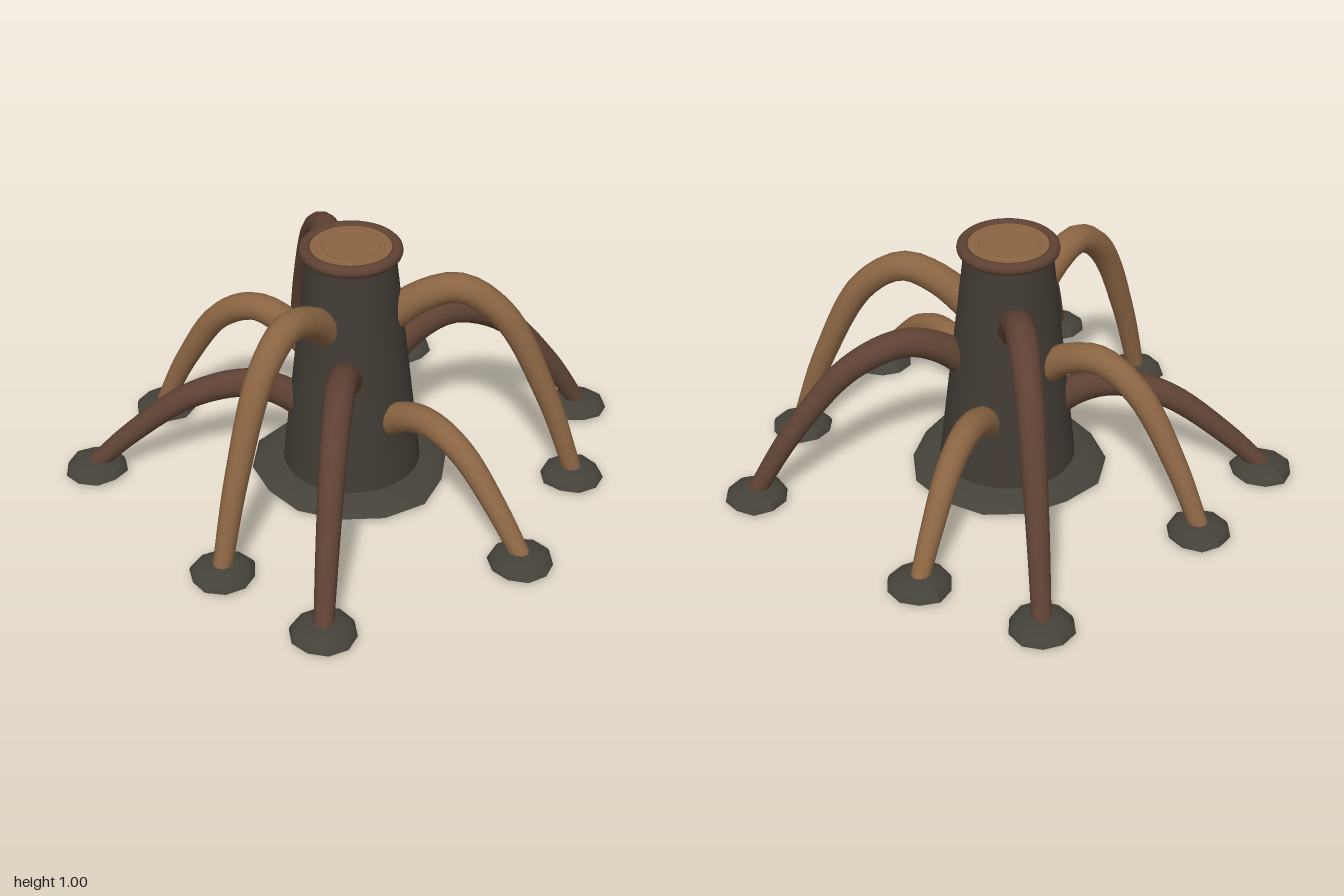
import * as THREE from 'three';

const flat = (name, color, side = THREE.FrontSide) => {
  const m = new THREE.MeshStandardMaterial({ color, side });
  m.name = name;
  return m;
};

// Tube along a curve whose radius runs from r0 to r1
function taperedTube(curve, r0, r1, rings = 28, sides = 12) {
  const geo = new THREE.TubeGeometry(curve, rings, 1, sides, false);
  const pos = geo.attributes.position;
  const v = new THREE.Vector3();
  for (let i = 0; i <= rings; i++) {
    const centre = curve.getPointAt(i / rings);
    const r = THREE.MathUtils.lerp(r0, r1, i / rings);
    for (let j = 0; j <= sides; j++) {
      const k = i * (sides + 1) + j;
      v.fromBufferAttribute(pos, k).sub(centre).multiplyScalar(r).add(centre);
      pos.setXYZ(k, v.x, v.y, v.z);
    }
  }
  return geo;
}

// Flattened, open half dome with an uneven rim
function moundGeometry(radius, height, sides, seed) {
  const geo = new THREE.SphereGeometry(1, sides, 5, 0, Math.PI * 2, 0, Math.PI / 2);
  const pos = geo.attributes.position;
  for (let i = 0; i < pos.count; i++) {
    const x = pos.getX(i), z = pos.getZ(i), a = Math.atan2(z, x);
    const k = radius * (1 + 0.025 * Math.sin(3 * a + seed) + 0.02 * Math.sin(5 * a + seed * 2.3));
    pos.setXYZ(i, x * k, pos.getY(i) * height, z * k);
  }
  geo.computeVertexNormals();
  return geo;
}

export function createModel() {
  const group = new THREE.Group();
  const bark = flat('charcoal bark', 0x423b34);
  const soil = flat('grey soil', 0x45423a, THREE.DoubleSide);
  const tan = flat('tan wood', 0x8b6543);
  const brown = flat('dark brown wood', 0x5e4233);
  const centreZ = 0.05;

  const add = (name, geo, mat, x, y, z) => {
    const mesh = new THREE.Mesh(geo, mat);
    mesh.name = name;
    mesh.position.set(x, y, z);
    group.add(mesh);
    return mesh;
  };

  // Trunk and the mound around its foot
  add('trunk', new THREE.CylinderGeometry(0.166, 0.272, 0.95, 32), bark, 0, 0.495, centreZ);
  add('baseMound', moundGeometry(0.385, 0.06, 14, 0.6), soil, 0, 0.015, centreZ);

  // Rim and sawn top with growth rings
  const rim = add('topRim', new THREE.TorusGeometry(0.17, 0.0235, 12, 40), brown, 0, 0.9765, centreZ);
  rim.rotation.x = Math.PI / 2;
  add('sawnTop', new THREE.CylinderGeometry(0.16, 0.16, 0.02, 40), tan, 0, 0.98, centreZ);
  const ring = add('growthRing', new THREE.TorusGeometry(0.117, 0.012, 8, 40), tan, 0, 0.988, centreZ);
  ring.rotation.x = Math.PI / 2;
  ring.scale.z = 0.5;

  // Arching roots: foot x, foot z, knee height, material
  const HIGH = 0.838, MID = 0.62, LOW = 0.4;
  const roots = [
    [0.885, 0.05, LOW, tan], [0.68, -0.495, HIGH, tan], [0.385, -0.885, MID, brown],
    [-0.43, -0.685, LOW, tan], [-0.875, -0.475, HIGH, brown], [-0.82, 0.33, MID, tan],
    [-0.68, 0.8, LOW, brown], [0.16, 0.87, HIGH, tan], [0.65, 0.83, MID, brown],
  ];
  const tipR = 0.036;
  roots.forEach(([x, z, knee, mat], i) => {
    const dx = x, dz = z - centreZ, reach = Math.hypot(dx, dz);
    const at = (r, y) => new THREE.Vector3(dx * r / reach, y, centreZ + dz * r / reach);
    const down = (f) => 0.42 + (reach - 0.42) * f;
    const curve = new THREE.CatmullRomCurve3([
      at(0.13, knee - 0.15), at(0.27, knee - 0.04), at(0.41, knee),
      at(down(0.34), knee * 0.87), at(down(0.73), knee * 0.46), at(reach, tipR),
    ]);
    add('root' + (i + 1), taperedTube(curve, 0.064, tipR), mat, 0, 0, 0);
    add('rootTip' + (i + 1), new THREE.SphereGeometry(tipR, 12, 8), mat, x, tipR, z);
    add('rootMound' + (i + 1), moundGeometry(0.122, 0.048, 10, i * 1.7), soil,
      x - dx / reach * 0.005, 0.017, z - dz / reach * 0.005);
  });
  return group;
}
